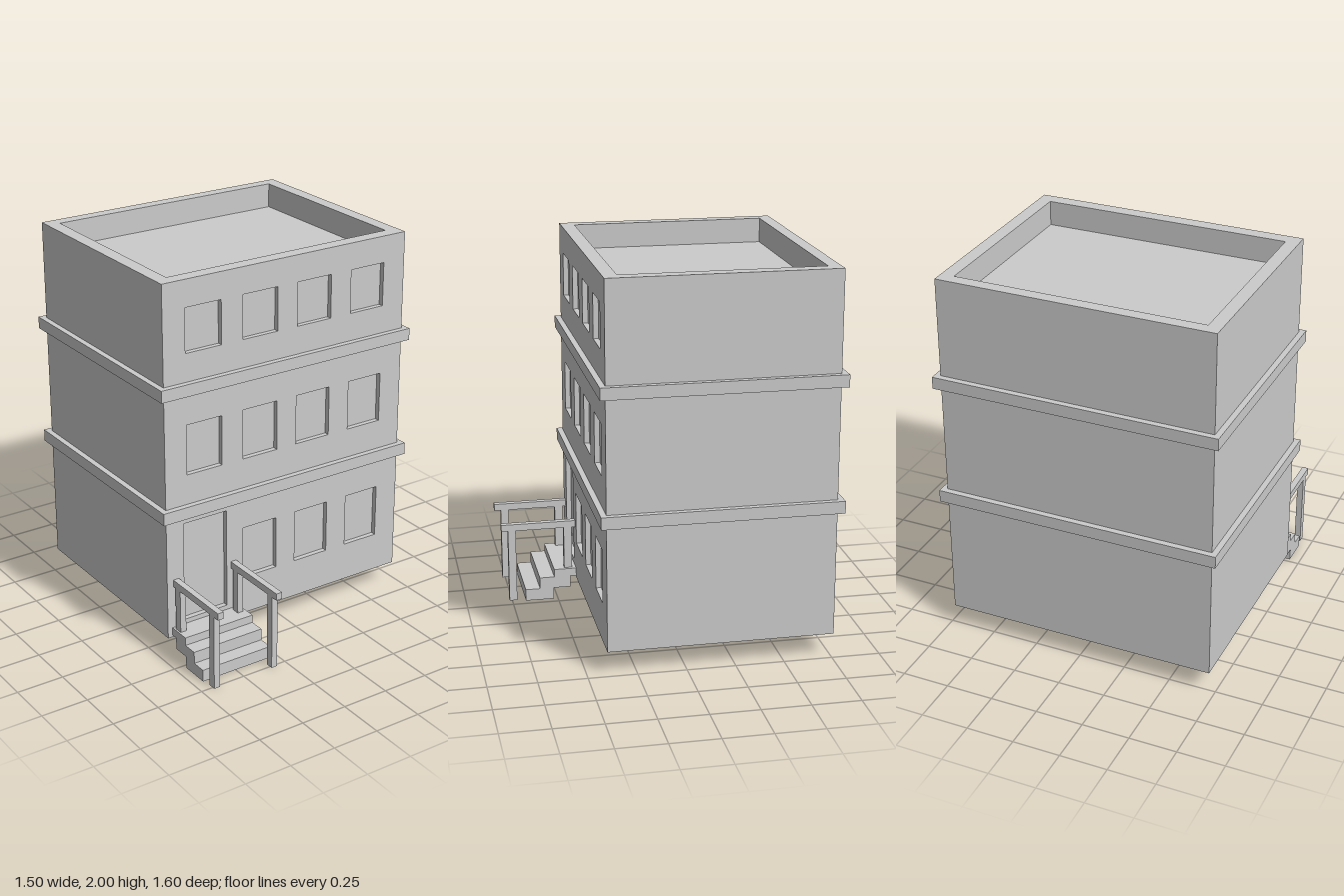
import * as THREE from 'three';

const material = new THREE.MeshStandardMaterial({ color: 0xcccccc, flatShading: true });

function add(parent, name, geometry) {
  const mesh = new THREE.Mesh(geometry, material);
  mesh.name = name;
  parent.add(mesh);
  return mesh;
}

// Box given by its lower and upper limits on each axis
function block(parent, name, [x0, x1], [y0, y1], [z0, z1]) {
  const mesh = add(parent, name, new THREE.BoxGeometry(x1 - x0, y1 - y0, z1 - z0));
  mesh.position.set((x0 + x1) / 2, (y0 + y1) / 2, (z0 + z1) / 2);
  return mesh;
}

function rectangle(Type, x0, x1, y0, y1) {
  return new Type([[x0, y0], [x1, y0], [x1, y1], [x0, y1]].map(p => new THREE.Vector2(...p)));
}

const extrude = (shape, depth) =>
  new THREE.ExtrudeGeometry(shape, { depth, bevelEnabled: false });

export function createModel() {
  const model = new THREE.Group();
  model.name = 'building';

  const W = 0.72, BASE = 0.117, TOP = 2, ROOF = 1.87;
  const BACK = -0.765, FRONT = 0.397, PANE = 0.37;

  // Solid core; its front face forms the window panes and the door
  block(model, 'buildingCore', [-W, W], [BASE, ROOF], [BACK, PANE]);

  // Front wall with window and door openings
  const wall = rectangle(THREE.Shape, -W, W, BASE, TOP);
  const rows = [[0.325, 0.61], [0.995, 1.26], [1.63, 1.86]];
  const columns = [-0.4925, -0.1625, 0.16, 0.4875];
  rows.forEach(([y0, y1], row) => columns.forEach((x, column) => {
    if (row === 0 && column === 0) return; // the door is here
    wall.holes.push(rectangle(THREE.Path, x - 0.1025, x + 0.1025, y0, y1));
  }));
  wall.holes.push(rectangle(THREE.Path, -0.62, -0.365, 0.195, 0.735));
  add(model, 'frontWall', extrude(wall, FRONT - PANE)).position.z = PANE;

  // Parapet around the sunken roof
  const ring = rectangle(THREE.Shape, -W, W, -PANE, -BACK);
  ring.holes.push(rectangle(THREE.Path, -0.65, 0.65, -0.325, 0.7));
  const parapet = add(model, 'parapet', extrude(ring, TOP - ROOF));
  parapet.rotation.x = -Math.PI / 2;
  parapet.position.y = ROOF;

  // Ledges between the storeys
  for (const [y0, y1] of [[0.772, 0.836], [1.42, 1.483]]) {
    const ledge = rectangle(THREE.Shape, -0.75, 0.75, -0.427, 0.797);
    ledge.holes.push(rectangle(THREE.Path, -0.7, 0.7, -0.38, 0.745));
    const mesh = add(model, 'ledge', extrude(ledge, y1 - y0));
    mesh.rotation.x = -Math.PI / 2;
    mesh.position.y = y0;
  }

  // Entrance steps, a stepped profile (z, y) extruded across x
  const profile = [
    [0.397, 0.127], [0.43, 0.127], [0.43, 0.064], [0.522, 0.064], [0.522, 0], [0.677, 0],
    [0.677, 0.064], [0.598, 0.064], [0.598, 0.127], [0.518, 0.127], [0.518, 0.17], [0.397, 0.17],
  ];
  const steps = add(model, 'entranceSteps',
    extrude(new THREE.Shape(profile.map(([z, y]) => new THREE.Vector2(-z, y)).reverse()), 0.405));
  steps.rotation.y = Math.PI / 2;
  steps.position.x = -0.694;

  // Handrails, each on a short rear post and a tall front post
  for (const x of [-0.668, -0.324]) {
    const handrail = new THREE.Group();
    handrail.name = 'handrail';
    model.add(handrail);
    const width = [x - 0.0165, x + 0.0165];
    block(handrail, 'rail', width, [0.403, 0.44], [0.397, 0.8]);
    block(handrail, 'rearPost', width, [0.17, 0.403], [0.416, 0.46]);
    block(handrail, 'frontPost', width, [0, 0.403], [0.722, 0.764]);
  }
  return model;
}
